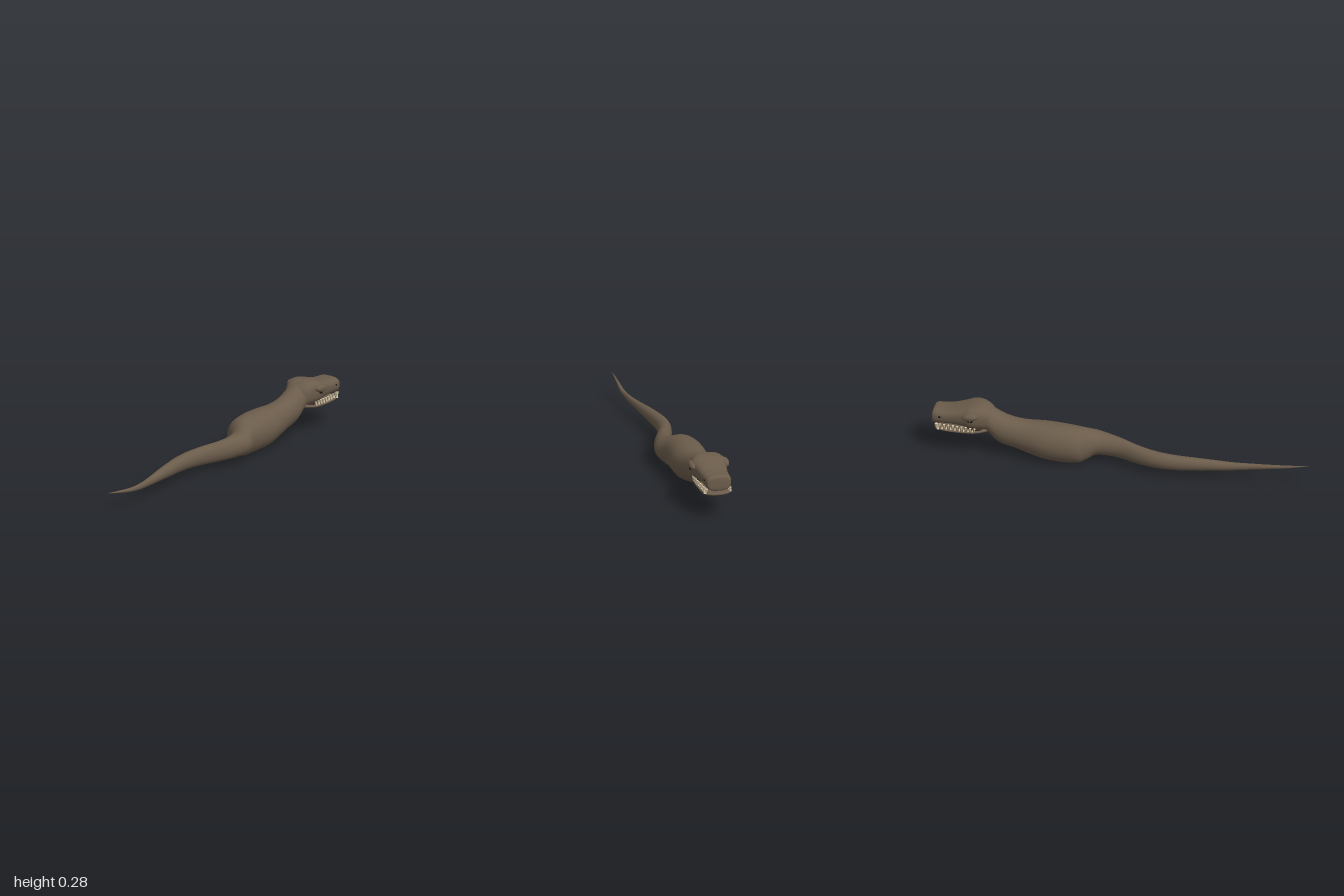
import * as THREE from 'three';

const mat = (name, color) => {
  const m = new THREE.MeshStandardMaterial({ color });
  m.name = name;
  return m;
};

// Smooth skin through sections [x, yTop, yBottom, zMin, zMax, squareness, underTaper]
function loft(sections, sides = 36, steps = 5) {
  const channels = sections[0].map((_, c) =>
    new THREE.SplineCurve(sections.map((s, i) => new THREE.Vector2(i, s[c]))));
  const rings = (sections.length - 1) * steps;
  const pos = [], index = [];
  for (let i = 0; i <= rings; i++) {
    const [x, top, bot, z0, z1, n, taper] = channels.map(c => c.getPoint(i / rings).y);
    for (let j = 0; j < sides; j++) {
      const a = j / sides * Math.PI * 2, c = Math.cos(a), s = Math.sin(a);
      const u = Math.sign(c) * Math.abs(c) ** (2 / n);
      const w = Math.sign(s) * Math.abs(s) ** (2 / n) * (1 - taper * Math.max(0, -u));
      pos.push(x, (top + bot) / 2 + u * (top - bot) / 2, (z0 + z1) / 2 + w * (z1 - z0) / 2);
      if (i < rings) {
        const k = i * sides + j, l = i * sides + (j + 1) % sides;
        index.push(k, l, k + sides, l, l + sides, k + sides);
      }
    }
  }
  const g = new THREE.BufferGeometry();
  g.setAttribute('position', new THREE.Float32BufferAttribute(pos, 3));
  g.setIndex(index);
  g.computeVertexNormals();
  return g;
}

export function createModel() {
  const root = new THREE.Group();
  root.name = 'reptile';
  const hide = mat('brown hide', 0x6b5c4b);
  const ivory = mat('ivory teeth', 0xd6c8a8);
  const black = mat('dark eye', 0x17120e);
  const amber = mat('amber iris', 0xa88a4a);
  const inner = mat('mouth lining', 0x3d2c26);
  const add = (name, geo, material, parent = root) => {
    const m = new THREE.Mesh(geo, material);
    m.name = name;
    parent.add(m);
    return m;
  };

  // Winding tail, swelling torso and neck
  const body = [
    [-1, .116, .114, .019, .021], [-.9, .104, .09, .013, .027], [-.8, .095, .072, .011, .033],
    [-.7, .094, .06, .002, .027], [-.6, .097, .053, -.02, .018], [-.5, .106, .047, -.041, .01],
    [-.4, .114, .042, -.059, .002], [-.3, .121, .039, -.073, -.004], [-.2, .128, .037, -.072, .003],
    [-.1, .136, .036, -.05, .028], [0, .146, .037, -.018, .07], [.08, .156, .037, -.012, .098],
    [.14, .167, .033, -.024, .11], [.18, .184, .017, -.062, .099], [.22, .2, .007, -.095, .088],
    [.3, .21, .004, -.107, .088], [.4, .212, .011, -.106, .092], [.5, .21, .034, -.086, .076],
    [.56, .216, .052, -.078, .069], [.61, .228, .062, -.075, .067], [.65, .245, .078, -.073, .067],
    [.69, .262, .118, -.072, .068], [.72, .265, .15, -.066, .064], [.74, .21, .2, -.01, .01],
  ].map(s => [...s, 2.1, .08]);
  add('body', loft(body, 40), hide);

  // Skull and blunt snout
  const skull = [
    [.66, .225, .19, .02], [.69, .26, .157, .064], [.74, .284, .153, .086],
    [.79, .281, .156, .098], [.83, .27, .16, .086], [.9, .25, .163, .074],
    [.955, .244, .161, .071], [.985, .243, .159, .067], [.998, .232, .167, .056],
    [1, .2, .198, .001],
  ].map(([x, t, b, w]) => [x, t, b, -w, w, 3, .08]);
  add('head', loft(skull, 48), hide);

  // Broad lower jaw
  const jaw = [
    [.68, .165, .148, .04], [.72, .162, .138, .072], [.78, .154, .125, .081],
    [.86, .149, .122, .08], [.93, .147, .124, .076], [.97, .147, .127, .064],
    [.987, .145, .132, .042], [.992, .139, .137, .001],
  ].map(([x, t, b, w]) => [x, t, b, -w, w, 2.8, .25]);
  add('lowerJaw', loft(jaw, 36), hide);

  // Dark back of the mouth
  const throat = [[.7, .158, .156, .01], [.74, .168, .148, .068], [.8, .168, .146, .062], [.84, .156, .155, .01]]
    .map(([x, t, b, w]) => [x, t, b, -w, w, 2.5, 0]);
  add('mouthLining', loft(throat, 24), inner);

  const sphere = new THREE.SphereGeometry(1, 20, 14);
  const tooth = new THREE.ConeGeometry(1, 1, 8);
  for (const side of [-1, 1]) {
    const face = new THREE.Group();
    face.name = side > 0 ? 'leftFace' : 'rightFace';
    root.add(face);
    const blob = (name, m, p, s) => {
      const b = add(name, sphere, m, face);
      b.position.set(p[0], p[1], p[2] * side);
      b.scale.set(...s);
      return b;
    };
    // Brow, eye and nostril
    blob('brow', hide, [.787, .24, .09], [.042, .02, .019]).rotation.z = -.15;
    blob('eyeSocket', black, [.785, .222, .096], [.015, .009, .009]);
    blob('iris', amber, [.787, .223, .101], [.006, .005, .005]);
    blob('pupil', black, [.788, .223, .1045], [.002, .004, .002]);
    blob('nostril', black, [.955, .212, .07], [.008, .005, .003]);

    // Teeth along both jaws
    const spike = (name, x, y, z, r, h, dir) => {
      const t = add(name, tooth, ivory, face);
      t.position.set(x, y + dir * h / 2, z * side);
      t.scale.set(r, h, r);
      if (dir < 0) t.rotation.x = Math.PI;
    };
    for (let i = 0; i < 9; i++) {
      const x = .765 + i * .0235, f = i / 8;
      spike('upperTooth', x, .169, .077 - .01 * f, .0065, .021 + .006 * (i % 2), -1);
      if (i < 8) spike('lowerTooth', x + .012, .143, .074 - .008 * f, .0055, .02, 1);
    }
    spike('upperFang', .972, .168, .064, .009, .032, -1);
    spike('lowerFang', .962, .14, .07, .007, .03, 1);
  }
  return root;
}
